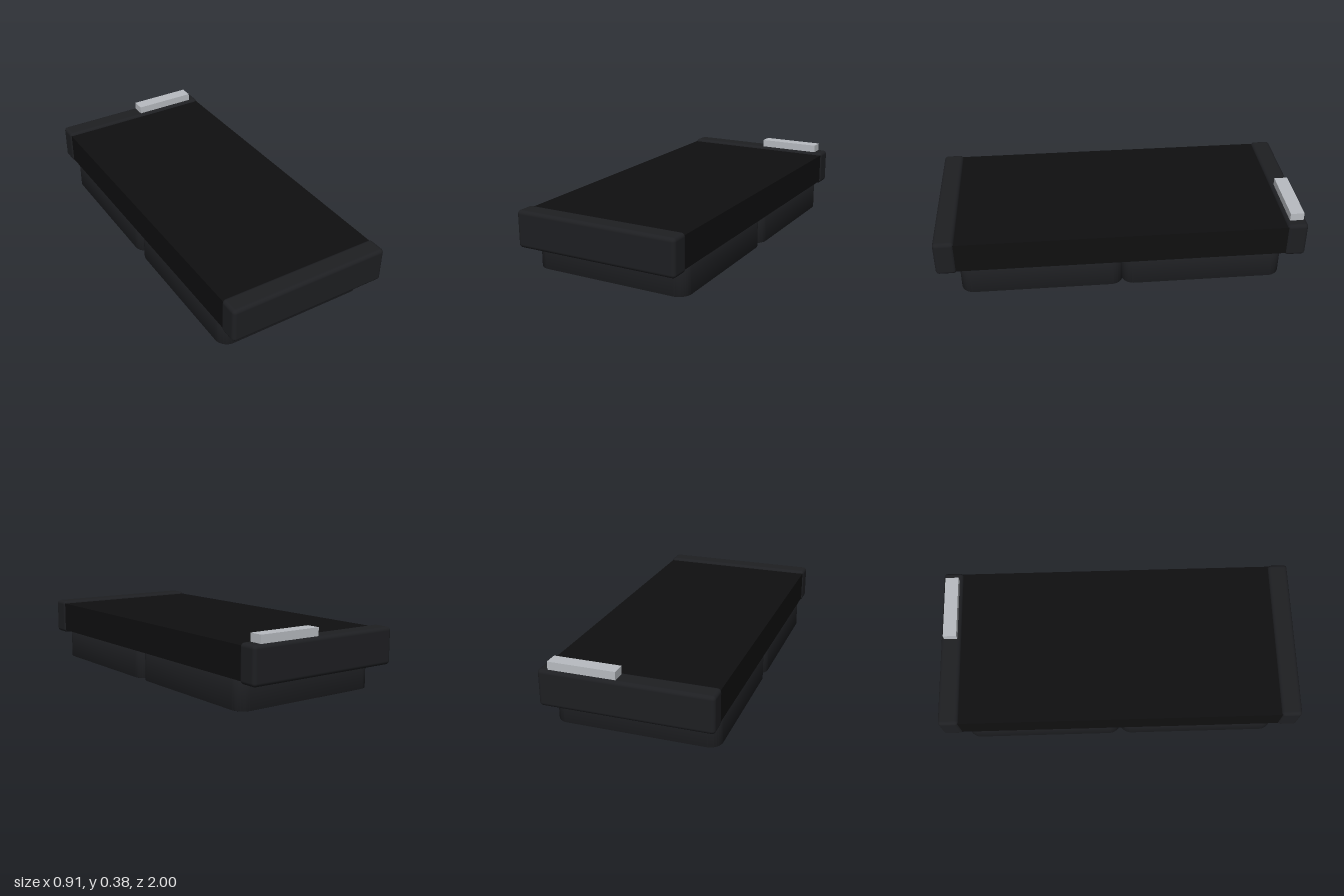
import * as THREE from 'three';
import { toCreasedNormals } from 'three/addons/utils/BufferGeometryUtils.js';
import { RoundedBoxGeometry } from 'three/addons/geometries/RoundedBoxGeometry.js';

const material = (color) => new THREE.MeshStandardMaterial({ color });
const shell = material(0x1e1f22);
const coreBlack = material(0x0f0f10);
const rotorBlack = material(0x0f0f10);
const fittingGrey = material(0xb8bcc1);

function add(parent, name, geometry, mat, x = 0, y = 0, z = 0) {
  const mesh = new THREE.Mesh(geometry, mat);
  mesh.name = name;
  mesh.position.set(x, y, z);
  parent.add(mesh);
  return mesh;
}

// Square frame with rounded corners and a round opening
function frameGeometry(half, corner, hole, height) {
  const s = new THREE.Shape();
  const c = half - corner;
  s.absarc(c, c, corner, 0, Math.PI / 2);
  s.absarc(-c, c, corner, Math.PI / 2, Math.PI);
  s.absarc(-c, -c, corner, Math.PI, Math.PI * 1.5);
  s.absarc(c, -c, corner, Math.PI * 1.5, Math.PI * 2);
  s.closePath();
  s.holes.push(new THREE.Path().absarc(0, 0, hole, 0, Math.PI * 2, true));
  const bevel = 0.005;
  const g = new THREE.ExtrudeGeometry(s, {
    depth: height - 2 * bevel, bevelSize: bevel, bevelThickness: bevel,
    bevelOffset: -bevel, bevelSegments: 2, curveSegments: 32,
  });
  g.translate(0, 0, bevel);
  g.rotateX(-Math.PI / 2);
  return toCreasedNormals(g, 0.5);
}

// Pitched blade of even width, swept slightly towards its tip
function bladeGeometry() {
  const g = new THREE.BoxGeometry(1, 0.012, 1, 6, 1, 1);
  const p = g.attributes.position;
  for (let i = 0; i < p.count; i++) {
    const u = p.getX(i) + 0.5, s = p.getZ(i);
    const r = 0.115 + 0.28 * u;
    const a = 0.3 * u + (s * 0.16) / r;
    p.setXYZ(i, r * Math.cos(a), 0.09 + p.getY(i) - s * (0.07 + 0.03 * u), r * Math.sin(a));
  }
  g.computeVertexNormals();
  return g;
}

function createFan(name, z) {
  const fan = new THREE.Group();
  fan.name = name;
  fan.position.z = z;
  add(fan, 'fanFrame', frameGeometry(0.442, 0.07, 0.41, 0.158), shell);
  add(fan, 'fanHub', new THREE.CylinderGeometry(0.13, 0.13, 0.115, 32), rotorBlack, 0, 0.1, 0);
  const blade = bladeGeometry();
  const count = 9;
  for (let i = 0; i < count; i++) {
    add(fan, 'fanBlade', blade, rotorBlack).rotation.y = (i / count) * Math.PI * 2;
  }
  return fan;
}

export function createModel() {
  const model = new THREE.Group();
  model.name = 'radiatorWithFans';

  // Radiator core
  add(model, 'radiatorCore', new THREE.BoxGeometry(0.9, 0.17, 1.8), coreBlack, 0, 0.243, 0);

  // End tanks and fans, one of each at the front and back
  for (const side of [1, -1]) {
    const end = side > 0 ? 'front' : 'back';
    add(model, end + 'Tank', new RoundedBoxGeometry(0.912, 0.198, 0.112, 4, 0.02), shell, 0, 0.243, side * 0.944);
    model.add(createFan(end + 'Fan', side * 0.438));
  }

  // Port block on the back tank
  add(model, 'portBlock', new THREE.BoxGeometry(0.36, 0.055, 0.075), fittingGrey, 0.224, 0.3575, -0.945);

  return model;
}
